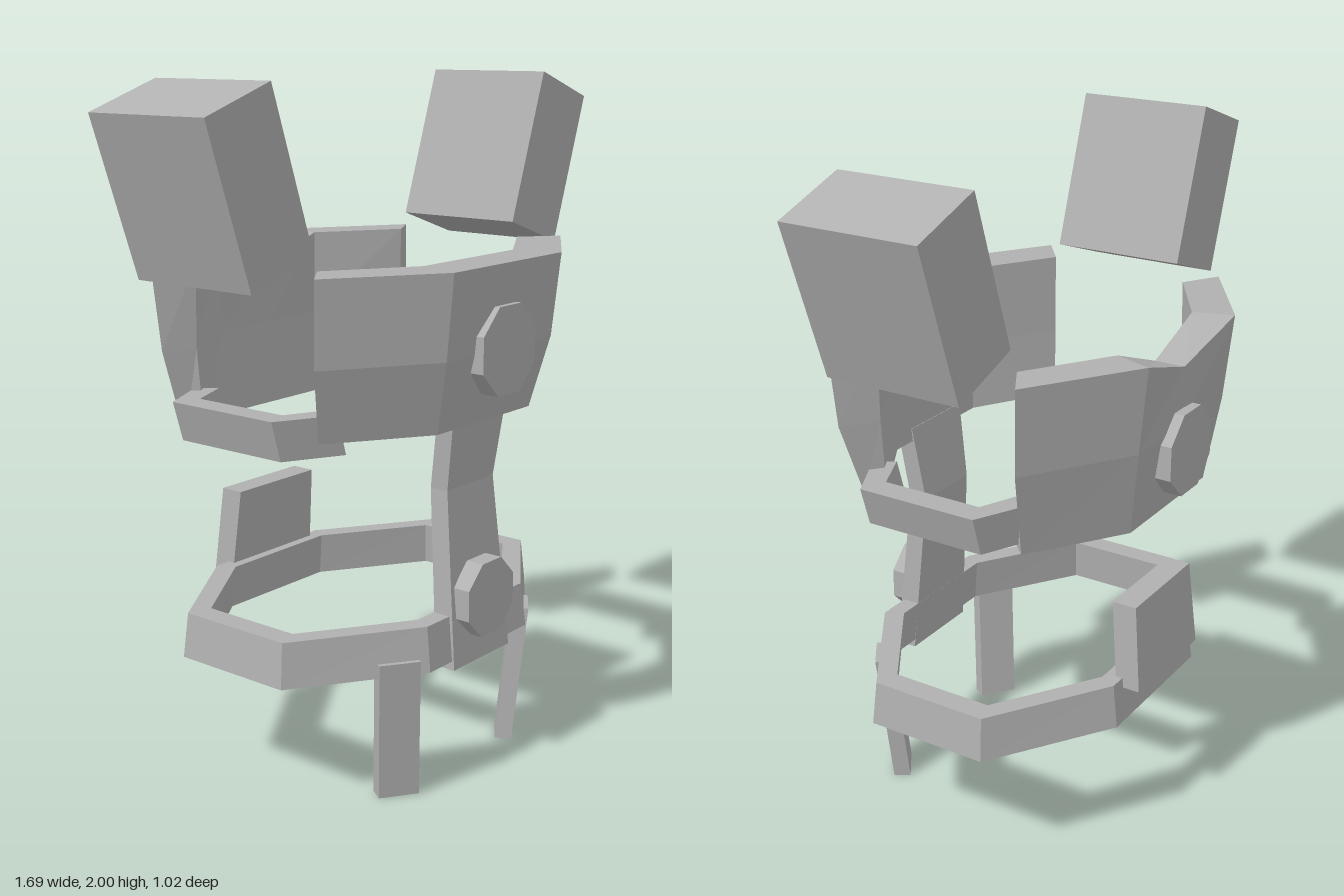
import * as THREE from 'three';

const grey = new THREE.MeshStandardMaterial({ color: 0xb0b0b0, flatShading: true });
grey.name = 'plain grey';

// Skins a row of equal-sized point loops; open rows get end caps.
function loft(sections, closed = false) {
  const pos = [], n = sections[0].length, count = sections.length;
  const quad = (a, b, c, d) => pos.push(...a, ...b, ...c, ...a, ...c, ...d);
  for (let i = 0; i < (closed ? count : count - 1); i++) {
    const s = sections[i], t = sections[(i + 1) % count];
    for (let j = 0; j < n; j++) quad(s[j], s[(j + 1) % n], t[(j + 1) % n], t[j]);
  }
  if (!closed) {
    const s = sections[0], t = sections[count - 1];
    for (let j = 0; j < n / 2 - 1; j++) {
      const k = n - 1 - j;
      quad(s[j], s[k], s[k - 1], s[j + 1]);
      quad(t[j], t[j + 1], t[k - 1], t[k]);
    }
  }
  // Turn the faces outward if the enclosed volume is negative
  let volume = 0;
  const a = new THREE.Vector3(), b = new THREE.Vector3(), c = new THREE.Vector3();
  for (let i = 0; i < pos.length; i += 9) {
    volume += a.fromArray(pos, i).dot(b.fromArray(pos, i + 3).cross(c.fromArray(pos, i + 6)));
  }
  if (volume < 0) {
    for (let i = 0; i < pos.length; i += 9) {
      for (let k = 0; k < 3; k++) [pos[i + 3 + k], pos[i + 6 + k]] = [pos[i + 6 + k], pos[i + 3 + k]];
    }
  }
  const g = new THREE.BufferGeometry();
  g.setAttribute('position', new THREE.Float32BufferAttribute(pos, 3));
  g.computeVertexNormals();
  return g;
}

const mirrorX = (loop) => loop.map(([x, y, z]) => [-x, y, z]);

// Rectangle in x and z at a height
const rect = (y, w, z0, z1) => [[-w, y, z0], [w, y, z0], [w, y, z1], [-w, y, z1]];

export function createModel() {
  const model = new THREE.Group();
  const add = (name, geometry) => {
    const mesh = new THREE.Mesh(geometry, grey);
    mesh.name = name;
    model.add(mesh);
    return mesh;
  };

  // Chest plate: sections from its left end to its corner, then mirrored
  const chest = [
    [[0.5, 1.06, 0.25], [0.555, 1.27, 0.285], [0.57, 1.51, 0.30],
      [0.46, 1.51, 0.215], [0.46, 1.27, 0.215], [0.45, 1.06, 0.21]],
    [[0.22, 1.06, 0.43], [0.25, 1.27, 0.48], [0.255, 1.51, 0.505],
      [0.21, 1.51, 0.37], [0.21, 1.27, 0.37], [0.2, 1.06, 0.36]],
  ];
  add('chestPlate', loft([...chest, mirrorX(chest[1]), mirrorX(chest[0])]));

  // Back plate with a shallow notch at the neck
  const back = [
    [[0.49, 1.0, -0.26], [0.55, 1.25, -0.28], [0.57, 1.5, -0.295],
      [0.46, 1.5, -0.23], [0.46, 1.25, -0.235], [0.45, 1.0, -0.22]],
    [[0.22, 1.0, -0.44], [0.25, 1.25, -0.475], [0.255, 1.5, -0.5],
      [0.215, 1.5, -0.385], [0.21, 1.25, -0.38], [0.2, 1.0, -0.36]],
  ];
  const spine = [[0, 1.0, -0.44], [0, 1.25, -0.475], [0, 1.42, -0.475],
    [0, 1.42, -0.385], [0, 1.25, -0.38], [0, 1.0, -0.36]];
  add('backPlate', loft([...back, spine, mirrorX(back[1]), mirrorX(back[0])]));

  // Waist belt: eight-cornered ring, wider at its lower edge
  const corners = [[0.23, 0.41], [0.575, 0.18], [0.575, -0.18], [0.23, -0.405],
    [-0.23, -0.405], [-0.575, -0.18], [-0.575, 0.18], [-0.23, 0.41]];
  add('waistBelt', loft(corners.map(([x, z]) => [
    [x * 1.025, 0.38, z * 1.04], [x, 0.51, z],
    [x * 0.88, 0.51, z * 0.87], [x * 0.9, 0.38, z * 0.9],
  ]), true));

  // Belly strap
  add('bellyStrap', loft([
    rect(1.1, 0.125, 0.36, 0.415), rect(0.87, 0.11, 0.327, 0.385), rect(0.355, 0.135, 0.37, 0.435),
  ]));

  // Pouch at the back of the belt
  add('backPouch', loft([rect(0.74, 0.165, -0.36, -0.435), rect(0.48, 0.18, -0.385, -0.46)]));

  // Eight-sided studs
  const stud = (name, y, z, r) => {
    const g = new THREE.CylinderGeometry(r, r, 0.055, 8).rotateY(Math.PI / 8).rotateX(Math.PI / 2);
    add(name, g).position.set(0, y, z);
  };
  stud('chestStud', 1.27, 0.482, 0.134);
  stud('beltStud', 0.545, 0.437, 0.118);
  stud('backStud', 1.18, -0.478, 0.13);

  for (const [side, s] of [['left', 1], ['right', -1]]) {
    // Shoulder block leaning outward
    const block = add(side + 'ShoulderBlock', new THREE.BoxGeometry(0.247, 0.467, 0.41));
    block.position.set(s * 0.65, 1.735, -0.005);
    block.rotation.z = -s * 0.33;

    // Strap under the arm, joining chest and back
    const path = [[0.44, 0.265, 0.40, 0.21], [0.605, 0.18, 0.53, 0.15],
      [0.605, -0.185, 0.53, -0.155], [0.44, -0.265, 0.40, -0.21]];
    add(side + 'ArmStrap', loft(path.map(([xo, zo, xi, zi]) => [
      [s * (xo - 0.035), 1.015, zo], [s * xo, 1.13, zo],
      [s * xi, 1.13, zi], [s * (xi - 0.035), 1.015, zi],
    ])));

    // Hanging thigh strip, set along the slanted belt face
    const strip = (x, y, z) => [[-1, -1], [1, -1], [1, 1], [-1, 1]].map(([t, n]) =>
      [s * (x + t * 0.049 + n * 0.014), y, z - t * 0.034 + n * 0.021]);
    add(side + 'ThighStrip', loft([strip(0.302, 0.42, 0.362), strip(0.268, 0, 0.333)]));
  }
  return model;
}
